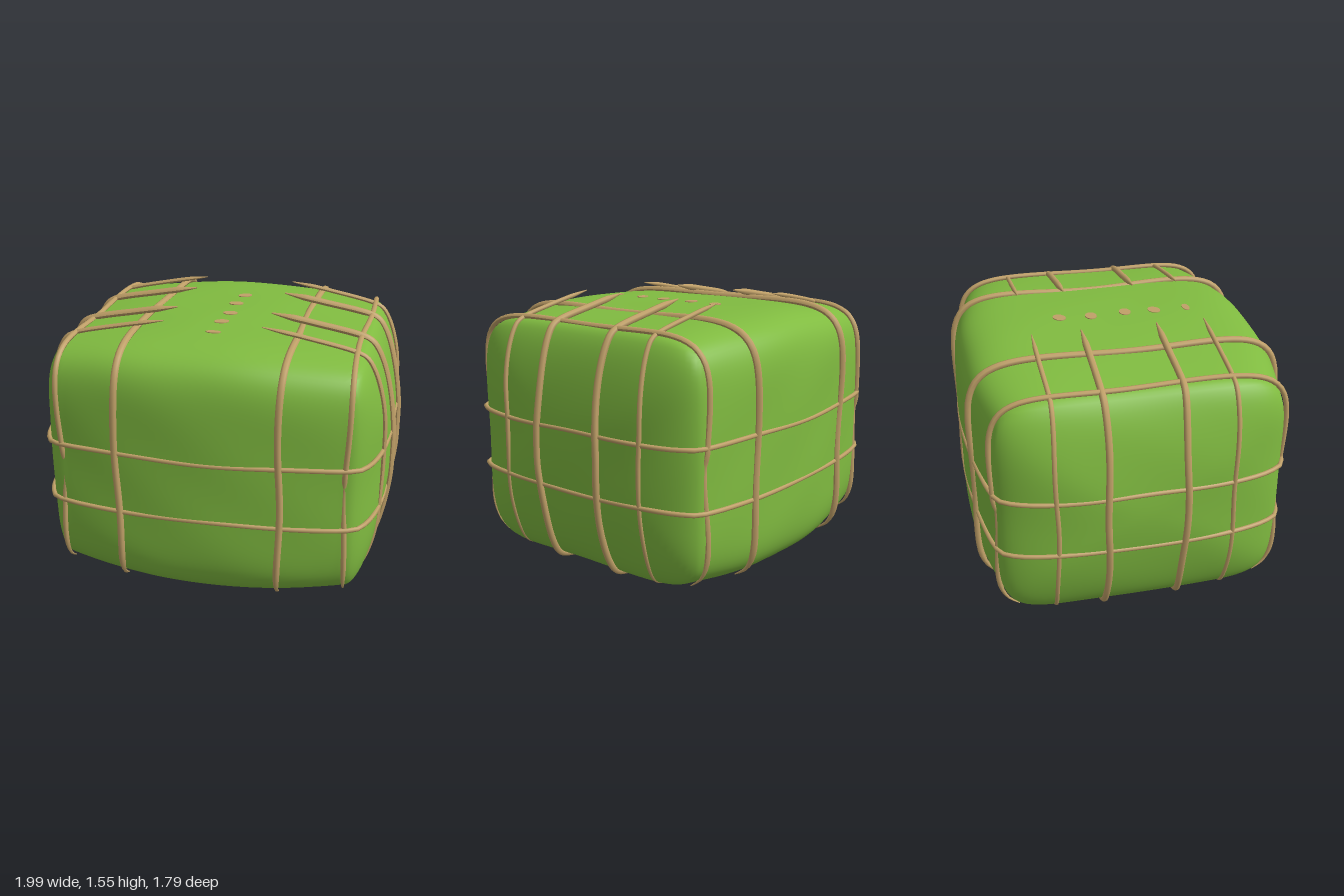
import * as THREE from 'three';
import { mergeVertices } from 'three/addons/utils/BufferGeometryUtils.js';

// Half sizes of the bale and its middle height
const HALF = [0.972, 0.72, 0.885];
const MID = 0.78;
const SHOULDER = 0.78;

// Half height or depth at x: a shallow bulge, then a rounded end past the shoulder
function halfAt(x, middle, drop, power) {
  const a = Math.abs(x);
  if (a <= SHOULDER) return middle - drop * (a / SHOULDER) ** 2;
  const u = Math.min(1, (a - SHOULDER) / (HALF[0] - SHOULDER));
  return (middle - drop) * (1 - u * u) ** power;
}

function inside([x, y, z]) {
  if (Math.abs(x) >= HALF[0]) return false;
  const v = Math.abs(y) / halfAt(x, HALF[1], 0.055, 0.6);
  const w = Math.abs(z) / halfAt(x, HALF[2], 0.1, 0.45);
  return v ** 6.5 + w ** 6.5 < 1;
}

// Largest scale at which the point given by at(scale) is still inside the bale
function reach(at) {
  let lo = 0, hi = 1.5;
  for (let i = 0; i < 26; i++) {
    const s = (lo + hi) / 2;
    if (inside(at(s))) lo = s; else hi = s;
  }
  return at(lo);
}

// Point on the surface inside the plane axis = k, at angle t around that axis
function onSection(axis, k, t, lift) {
  const [u, v] = [[2, 1], [0, 2], [0, 1]][axis];
  const p = reach((s) => {
    const q = [k, k, k];
    q[u] = s * Math.cos(t) * HALF[u];
    q[v] = s * Math.sin(t) * HALF[v];
    return q;
  });
  const f = 1 + lift / Math.hypot(p[u], p[v]);
  p[u] *= f;
  p[v] *= f;
  return new THREE.Vector3(p[0], p[1] + MID, p[2]);
}

// Rope along a path; open ropes taper at both ends
function ropeGeometry(points, radius, closed) {
  const curve = new THREE.CatmullRomCurve3(points, closed, 'centripetal');
  const rings = 110, sides = 7;
  const geo = new THREE.TubeGeometry(curve, rings, radius, sides, closed);
  if (closed) return geo;
  const pos = geo.attributes.position, v = new THREE.Vector3();
  for (let i = 0; i <= rings; i++) {
    const u = i / rings, c = curve.getPointAt(u);
    const f = Math.max(0.2, Math.min(1, 0.2 + Math.min(u, 1 - u) / 0.06));
    for (let j = 0; j <= sides; j++) {
      const n = i * (sides + 1) + j;
      v.fromBufferAttribute(pos, n).sub(c).multiplyScalar(f).add(c);
      pos.setXYZ(n, v.x, v.y, v.z);
    }
  }
  geo.computeVertexNormals();
  return geo;
}

export function createModel() {
  const model = new THREE.Group();
  const leaf = new THREE.MeshStandardMaterial({ color: 0x80bb40 });
  leaf.name = 'leaf green';
  const twine = new THREE.MeshStandardMaterial({ color: 0xc0a068, side: THREE.DoubleSide });
  twine.name = 'twine tan';

  const add = (name, geo, mat) => {
    const mesh = new THREE.Mesh(geo, mat);
    mesh.name = name;
    model.add(mesh);
    return mesh;
  };

  // Wrapped bale: a gridded block pushed onto the rounded surface, gently uneven
  let body = new THREE.BoxGeometry(2, 2, 2, 52, 40, 40);
  body.deleteAttribute('uv');
  body.deleteAttribute('normal');
  body = mergeVertices(body);
  const pos = body.attributes.position;
  for (let i = 0; i < pos.count; i++) {
    const d = [pos.getX(i) * HALF[0], pos.getY(i) * HALF[1], pos.getZ(i) * HALF[2]];
    const p = reach((s) => d.map((c) => c * s));
    const ripple = 1 + 0.003 * Math.sin(p[0] * 9 + p[1] * 4) * Math.sin(p[1] * 8 + p[2] * 7);
    pos.setXYZ(i, p[0] * ripple, p[1] * ripple + MID, p[2] * ripple);
  }
  body.computeVertexNormals();
  add('bale', body, leaf);

  // Upright ropes over the front, top and back, tucked in underneath;
  // the outer pair sinks into the wrap on the lower half
  for (const [k, r] of [[-0.78, 0.015], [-0.44, 0.019], [0.44, 0.019], [0.78, 0.015]]) {
    const outer = Math.abs(k) > 0.6;
    const pts = [];
    for (let i = 0; i <= 64; i++) {
      const t = THREE.MathUtils.lerp(-0.27, 1.27, i / 64) * Math.PI;
      const corner = Math.sin(2 * t) ** 2;
      const sunk = outer && Math.sin(t) < 0.1 ? 0.016 * (1 - corner) : 0;
      const onTop = k === 0.44 ? 0.014 * Math.max(0, Math.sin(t)) ** 4 : 0;
      const p = onSection(0, k, t, 0.004 + 0.014 * corner - sunk - onTop);
      p.x += 0.009 * Math.sin(t * 5 + k * 6);
      pts.push(p);
    }
    add('uprightRope', ropeGeometry(pts, r, false), twine);
  }

  // Thin level ropes all the way round, half sunk except at the corners
  for (const y of [0.91, 0.57]) {
    const pts = [];
    for (let i = 0; i < 72; i++) {
      const t = (i / 72) * Math.PI * 2;
      const p = onSection(1, y - MID, t, -0.004 + 0.018 * Math.sin(2 * t) ** 6);
      p.y += 0.004 * Math.sin(t * 6 + y * 9);
      pts.push(p);
    }
    add('levelRope', ropeGeometry(pts, 0.013, true), twine);
  }

  // Ropes round each end, with loose tips above and below
  for (const side of [-1, 1]) {
    for (const [z, r] of [[-0.48, 0.013], [-0.21, 0.019], [0.21, 0.019], [0.48, 0.013]]) {
      const sunk = Math.abs(z) > 0.4 ? 0.012 : 0;
      const pts = [new THREE.Vector3(0.27, 1.55, z), new THREE.Vector3(0.5, 1.51, z)];
      for (let i = 0; i <= 36; i++) {
        const t = THREE.MathUtils.lerp(0.85, -0.85, i / 36);
        const p = onSection(2, z, t, 0.008 - sunk * Math.max(0, Math.sin(-2 * t)));
        p.z += 0.006 * Math.sin(t * 6 + z * 8);
        pts.push(p);
      }
      pts.push(new THREE.Vector3(0.45, 0.05, z), new THREE.Vector3(0.27, 0.005, z));
      for (const p of pts) p.x *= side;
      add('endRope', ropeGeometry(pts, r, false), twine);
    }
  }

  // Small tan marks along the middle of the top
  for (const [x, z, turn] of [[0.015, -0.28, 0.6], [0, -0.1, 0], [0.01, 0.1, 0], [0, 0.27, 0.4], [0, 0.46, 0]]) {
    const mark = add('topMark', new THREE.CylinderGeometry(0.042, 0.042, 0.008, 14), twine);
    mark.scale.z = z > 0.4 ? 0.5 : 0.8;
    mark.rotation.y = turn;
    mark.position.set(x, onSection(0, x, Math.atan2(1, z / HALF[2]), 0).y, z);
  }
  return model;
}
